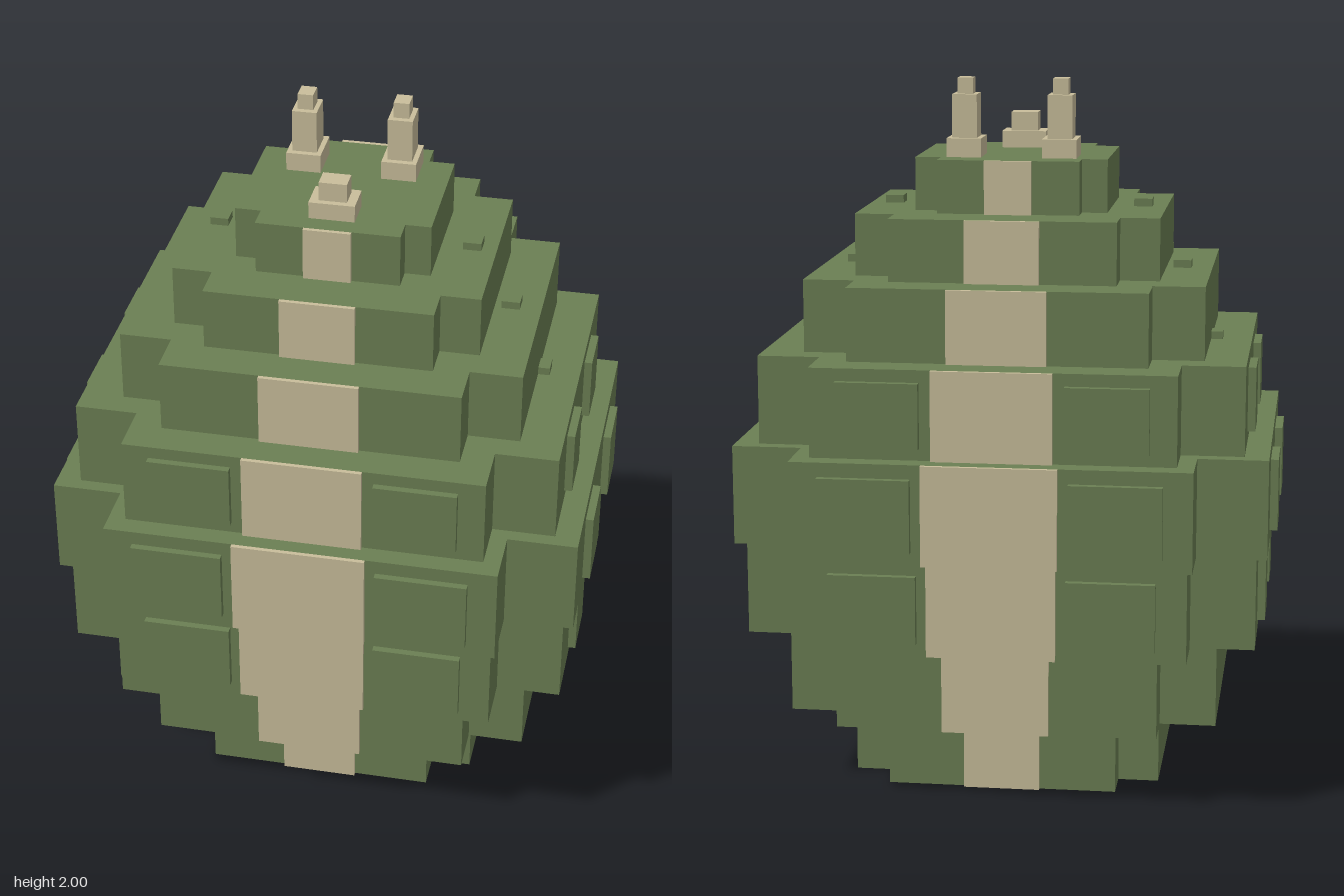
import * as THREE from 'three';

export function createModel() {
  const model = new THREE.Group();
  const green = new THREE.MeshStandardMaterial({ color: 0x6b7f53 });
  green.name = 'mossGreen';
  const cream = new THREE.MeshStandardMaterial({ color: 0xc9be9b });
  cream.name = 'cream';

  // Box standing on y0 and reaching y1
  function box(name, material, w, d, y0, y1, x, z) {
    const mesh = new THREE.Mesh(new THREE.BoxGeometry(w, y1 - y0, d), material);
    mesh.position.set(x, (y0 + y1) / 2, z);
    mesh.name = name;
    model.add(mesh);
  }

  // Cross-shaped slab: long half-extents X, Z and notched half-extents x, z
  function crossSlab(name, X, x, Z, z, y0, y1) {
    const outline = [
      [X, -z], [X, z], [x, z], [x, Z], [-x, Z], [-x, z],
      [-X, z], [-X, -z], [-x, -z], [-x, -Z], [x, -Z], [x, -z],
    ].map(([a, b]) => new THREE.Vector2(a, b));
    const geometry = new THREE.ExtrudeGeometry(new THREE.Shape(outline), { depth: y1 - y0, bevelEnabled: false });
    geometry.rotateX(-Math.PI / 2);
    const mesh = new THREE.Mesh(geometry, green);
    mesh.position.y = y0;
    mesh.name = name;
    model.add(mesh);
  }

  // Body tiers, bottom to top: y0, y1, X, x, Z, z, half-width of the stripe
  const tiers = [
    [0.00, 0.21, 0.44, 0.325, 0.40, 0.293, 0.108],
    [0.21, 0.455, 0.607, 0.45, 0.54, 0.402, 0.15],
    [0.455, 0.72, 0.715, 0.535, 0.63, 0.463, 0.178],
    [0.72, 1.00, 0.745, 0.55, 0.664, 0.49, 0.186],
    [1.00, 1.25, 0.677, 0.502, 0.607, 0.45, 0.166],
    [1.25, 1.455, 0.56, 0.415, 0.508, 0.376, 0.138],
    [1.455, 1.63, 0.428, 0.317, 0.392, 0.287, 0.104],
    [1.63, 1.78, 0.272, 0.2, 0.258, 0.188, 0.066],
  ];
  tiers.forEach(([y0, y1, X, x, Z, z, stripe], i) => {
    crossSlab('bodyTier' + (i + 1), X, x, Z, z, y0, y1);
    for (const s of [1, -1]) {
      box(s > 0 ? 'frontStripe' : 'backStripe', cream, stripe * 2, 0.012, y0, y1, 0, s * (Z + 0.006));
    }
  });

  // Raised panels on the three widest tiers:
  // tier, y0, y1, front centre x, front width, side centre z, side width
  const panels = [
    [2, 0.49, 0.682, 0.328, 0.245, 0.203, 0.163],
    [3, 0.757, 0.96, 0.342, 0.255, 0.212, 0.172],
    [4, 1.033, 1.215, 0.313, 0.23, 0.195, 0.155],
  ];
  for (const [t, y0, y1, px, pw, pz, pd] of panels) {
    const X = tiers[t][2], Z = tiers[t][4];
    for (const s of [1, -1]) {
      for (const r of [1, -1]) {
        box(r > 0 ? 'frontPanel' : 'backPanel', green, pw, 0.04, y0, y1, s * px, r * Z);
        box(s > 0 ? 'leftPanel' : 'rightPanel', green, 0.044, pd, y0, y1, s * X, r * pz);
      }
    }
  }

  // Small studs on the side ledges
  for (const [x, y] of [[0.575, 1.25], [0.474, 1.455], [0.36, 1.63]]) {
    for (const s of [1, -1]) box('ledgeStud', green, x > 0.5 ? 0.036 : 0.052, 0.052, y, y + 0.022, s * x, 0);
  }

  // Stepped spikes on the crown: a tall pair at the back, a short one in front
  for (const s of [1, -1]) {
    box('tallSpikeBase', cream, 0.098, 0.122, 1.78, 1.833, s * 0.135, -0.12);
    box('tallSpikeShaft', cream, 0.07, 0.088, 1.833, 1.955, s * 0.135, -0.12);
    box('tallSpikeTip', cream, 0.044, 0.054, 1.955, 2.0, s * 0.135, -0.12);
  }
  box('shortSpikeBase', cream, 0.128, 0.095, 1.78, 1.828, 0, 0.155);
  box('shortSpikeTip', cream, 0.078, 0.06, 1.828, 1.882, 0, 0.155);

  return model;
}
